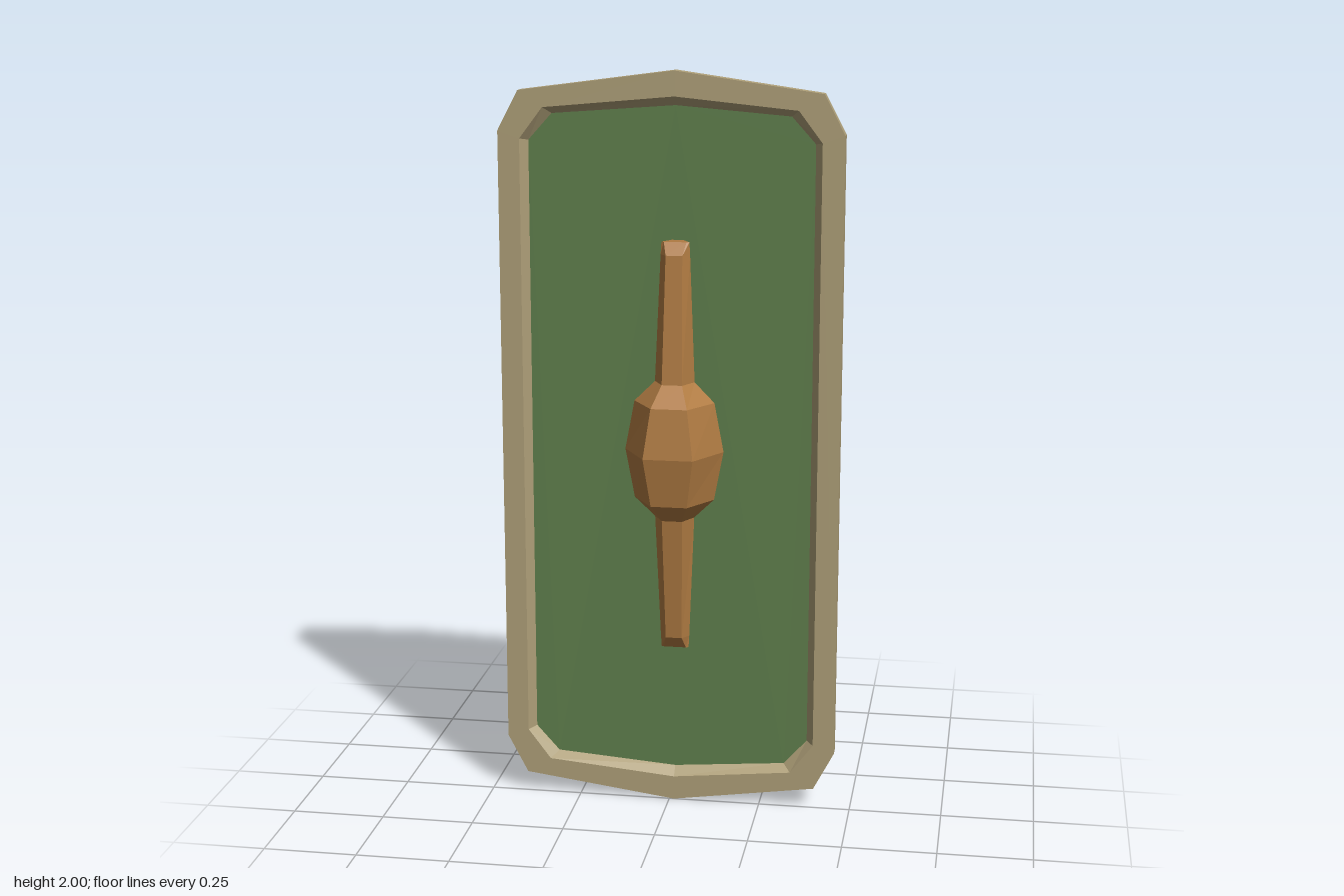
import * as THREE from 'three';

const mat = (name, color) => {
  const m = new THREE.MeshStandardMaterial({ color });
  m.name = name;
  return m;
};

const BACK = -0.037, RECESS = -0.025, PEAK = 0.013, MID = 1.0;

// Eight-sided outline with pointed top and bottom, counter-clockwise from the front
function outline(sideX, sideY, cornerX, cornerY, peakY, peakX = PEAK) {
  const top = [[sideX, sideY], [cornerX, cornerY], [peakX, peakY], [-cornerX, cornerY], [-sideX, sideY]];
  const bottom = top.map(([x, y]) => [x, 2 * MID - y]).reverse();
  return [...top, ...bottom].map(([x, y]) => new THREE.Vector2(x, y));
}

// Backing outline with rounded corners
function roundedOutline(peakX) {
  const path = new THREE.Path();
  const b = (y) => 2 * MID - y;
  path.moveTo(0.39, 1.77);
  path.quadraticCurveTo(0.39, 1.85, 0.31, 1.865);
  path.lineTo(peakX, 1.9);
  path.lineTo(-0.31, 1.865);
  path.quadraticCurveTo(-0.39, 1.85, -0.39, 1.77);
  path.lineTo(-0.39, b(1.77));
  path.quadraticCurveTo(-0.39, b(1.85), -0.31, b(1.865));
  path.lineTo(peakX, b(1.9));
  path.lineTo(0.31, b(1.865));
  path.quadraticCurveTo(0.39, b(1.85), 0.39, b(1.77));
  return path.getPoints(6);
}

// Skin a stack of equal loops; each loop is an array of Vector3
function skin(loops, caps = false) {
  const pos = [];
  const tri = (...v) => v.forEach((p) => pos.push(p.x, p.y, p.z));
  for (let i = 0; i < loops.length - 1; i++) {
    const a = loops[i], b = loops[i + 1], n = a.length;
    for (let j = 0; j < n; j++) {
      const k = (j + 1) % n;
      tri(a[j], a[k], b[k]);
      tri(a[j], b[k], b[j]);
    }
  }
  if (caps) {
    const a = loops[0], b = loops[loops.length - 1];
    for (let j = 1; j < a.length - 1; j++) {
      tri(a[0], a[j + 1], a[j]);
      tri(b[0], b[j], b[j + 1]);
    }
  }
  const g = new THREE.BufferGeometry();
  g.setAttribute('position', new THREE.Float32BufferAttribute(pos, 3));
  g.computeVertexNormals();
  return g;
}

export function createModel() {
  const group = new THREE.Group();
  const rimMat = mat('pale rim', 0xae9f78);
  const faceMat = mat('green face', 0x5f7f4c);
  const woodMat = mat('orange wood', 0xb07b42);
  const backMat = mat('brown backing', 0x836b54);
  const gripMat = mat('dark iron', 0x545553);

  const add = (name, geo, material) => {
    const m = new THREE.Mesh(geo, material);
    m.name = name;
    group.add(m);
    return m;
  };

  // Rim: outer wall, front face and sloped inner lip
  const outer = outline(0.455, 1.84, 0.4, 1.945, 2.0);
  const lip = outline(0.397, 1.82, 0.335, 1.902, 1.934);
  const inner = outline(0.378, 1.815, 0.315, 1.885, 1.91);
  const at = (pts, z) => pts.map((p) => new THREE.Vector3(p.x, p.y, z));
  add('rim', skin([at(outer, BACK), at(outer, 0), at(lip, 0), at(inner, RECESS)]), rimMat);

  // Recessed front panel
  add('frontPanel', new THREE.ShapeGeometry(new THREE.Shape(inner)).translate(0, 0, RECESS), faceMat);

  // Back faces, drawn mirrored and turned round
  const rear = new THREE.Shape(outline(0.455, 1.84, 0.4, 1.945, 2.0, -PEAK));
  rear.holes.push(new THREE.Path(roundedOutline(-PEAK)));
  const turn = (g) => g.rotateY(Math.PI).translate(0, 0, BACK);
  add('rimBack', turn(new THREE.ShapeGeometry(rear)), rimMat);
  add('backPanel', turn(new THREE.ShapeGeometry(new THREE.Shape(roundedOutline(-PEAK)))), backMat);

  // Wooden spine and boss: [height from centre, half width, its z, front half width, front z]
  const half = [
    [0.555, 0.037, 0.011, 0.03, 0.015],
    [0.522, 0.039, 0.012, 0.022, 0.036],
    [0.185, 0.053, 0.02, 0.027, 0.07],
    [0.132, 0.107, 0.027, 0.048, 0.123],
  ];
  const sections = [
    ...half.map(([y, ...r]) => [-y, ...r]),
    [0, 0.132, 0.027, 0.066, 0.143],
    ...half.slice().reverse(),
  ];
  const loops = sections.map(([y, w, zw, f, zf]) =>
    [[-0.4 * w, RECESS], [-w, zw], [-f, zf], [f, zf], [w, zw], [0.4 * w, RECESS]]
      .map(([x, z]) => new THREE.Vector3(x, y, z)));
  add('spineAndBoss', skin(loops, true), woodMat).position.set(0.018, 1.005, 0);

  // Bent grip on the back: profile as (z, y), extruded across x
  const grip = new THREE.Shape([
    [-0.036, 0.635], [-0.036, 0.82], [-0.106, 1.003], [-0.036, 1.187], [-0.036, 1.37],
    [-0.072, 1.37], [-0.072, 1.187], [-0.143, 1.003], [-0.072, 0.82], [-0.072, 0.635],
  ].map(([z, y]) => new THREE.Vector2(-z, y)));
  const gripGeo = new THREE.ExtrudeGeometry(grip, { depth: 0.026, bevelEnabled: false });
  gripGeo.translate(0, 0, -0.013).rotateY(Math.PI / 2);
  add('grip', gripGeo, gripMat).position.x = 0.022;

  return group;
}
